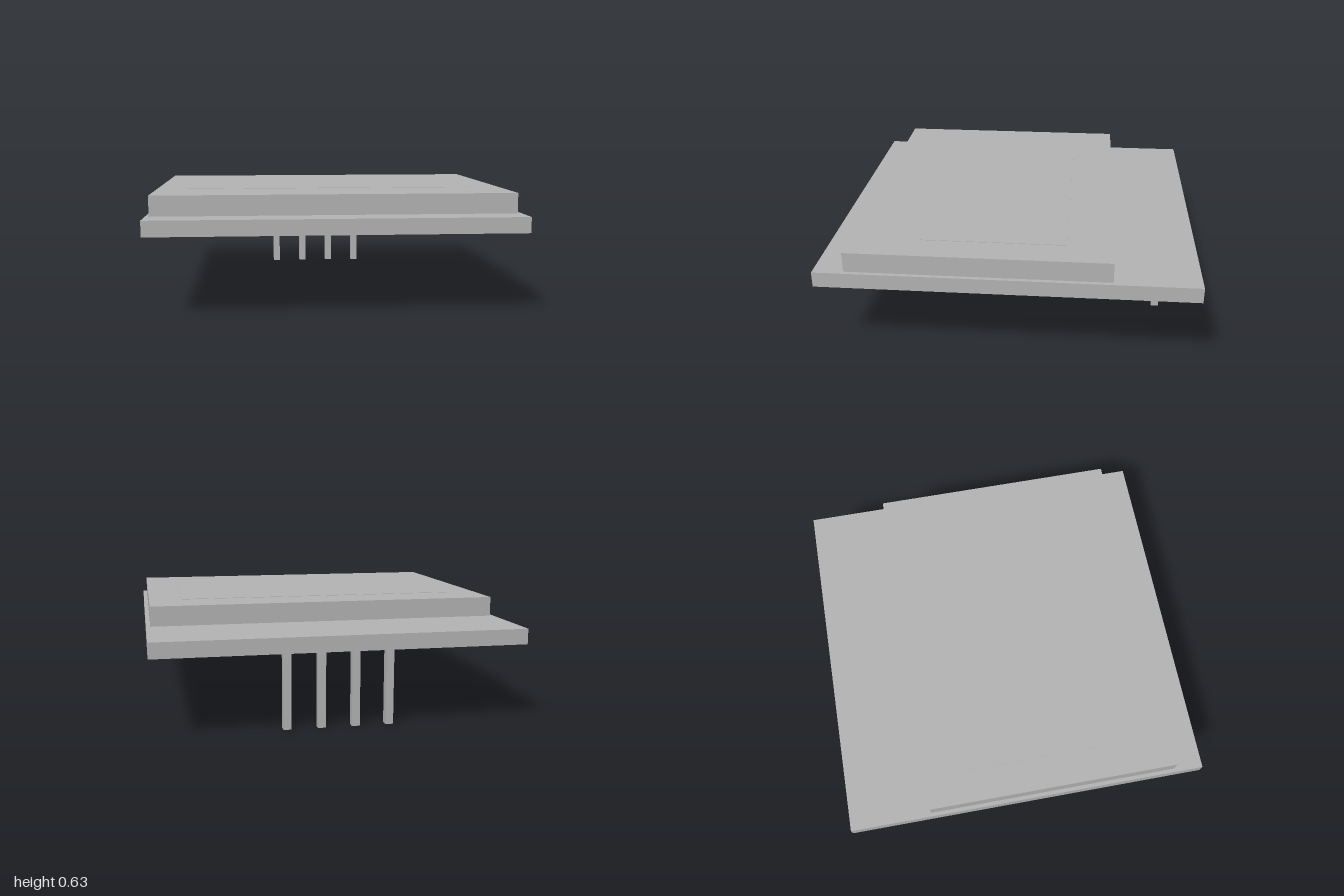
import * as THREE from 'three';

const grey = new THREE.MeshStandardMaterial({ color: 0xb2b2b2 });
grey.name = 'grey';

// Box given by its extents along each axis
function box(name, [x0, x1], [y0, y1], [z0, z1]) {
  const mesh = new THREE.Mesh(new THREE.BoxGeometry(x1 - x0, y1 - y0, z1 - z0), grey);
  mesh.position.set((x0 + x1) / 2, (y0 + y1) / 2, (z0 + z1) / 2);
  mesh.name = name;
  return mesh;
}

export function createModel() {
  const model = new THREE.Group();
  model.name = 'displayModule';

  // Circuit board, the display on it and its slightly raised active area
  model.add(box('circuitBoard', [-0.982, 0.982], [0.437, 0.52], [-1, 1]));
  model.add(box('displayPanel', [-0.962, 0.959], [0.52, 0.628], [-0.549, 0.838]));
  model.add(box('activeArea', [-0.785, 0.78], [0.628, 0.63], [-0.305, 0.47]));

  // Row of four square header pins under the back edge
  const pins = new THREE.Group();
  pins.name = 'headerPins';
  const half = 0.0215, z = -0.827;
  for (let i = 0; i < 4; i++) {
    const x = -0.279 + i * 0.1845;
    pins.add(box('headerPin', [x - half, x + half], [0, 0.437], [z - half, z + half]));
  }
  model.add(pins);
  return model;
}
